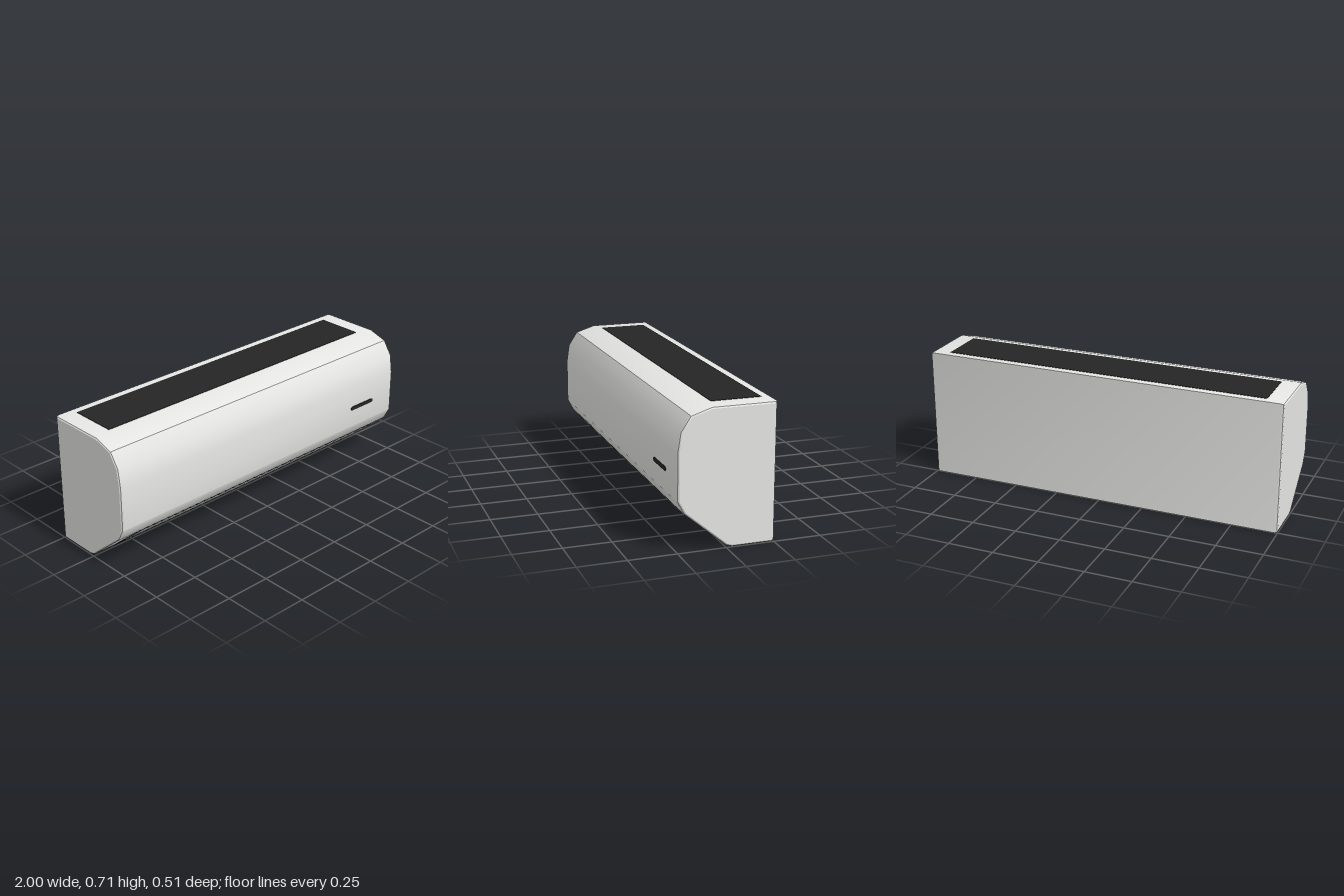
import * as THREE from 'three';
import { toCreasedNormals } from 'three/addons/utils/BufferGeometryUtils.js';

const shellMat = new THREE.MeshStandardMaterial({ color: 0xe6e6e4 });
shellMat.name = 'shell white';
const blackMat = new THREE.MeshStandardMaterial({ color: 0x252525 });
blackMat.name = 'vent black';

// side profile as [z, y]
const slopeLow = [0, 0.01], slopeHigh = [0.218, 0.195];
const profile = [
  [-0.252, 0], [-0.03, 0], slopeLow, slopeHigh, [0.252, 0.26], [0.252, 0.5],
  [0.237, 0.6], [0.186, 0.677], [0.08, 0.711], [-0.252, 0.711],
];

function part(name, geometry, material, parent) {
  const mesh = new THREE.Mesh(geometry, material);
  mesh.name = name;
  parent.add(mesh);
  return mesh;
}

export function createModel() {
  const model = new THREE.Group();
  model.name = 'wallAirConditioner';

  // casing: the profile extruded along x with softened ends
  const shape = new THREE.Shape(profile.map(([z, y]) => new THREE.Vector2(-z, y)));
  const bevel = 0.015;
  const casing = new THREE.ExtrudeGeometry(shape, {
    depth: 2 - 2 * bevel, bevelThickness: bevel, bevelSize: 0.01, bevelOffset: -0.01, bevelSegments: 2,
  });
  casing.translate(0, 0, bevel - 1).rotateY(Math.PI / 2);
  part('casing', toCreasedNormals(casing, 0.54), shellMat, model);

  // intake grille on top
  part('topGrille', new THREE.BoxGeometry(1.8, 0.006, 0.26), blackMat, model).position.set(0, 0.71, -0.08);

  // plates lying on the sloping underside, between two heights
  const dz = slopeHigh[0] - slopeLow[0], dy = slopeHigh[1] - slopeLow[1];
  const angle = Math.atan2(dz, dy);
  function slopePlate(name, width, y0, y1, lift, material) {
    const plate = part(name, new THREE.BoxGeometry(width, (y1 - y0) / Math.cos(angle), 0.004), material, model);
    const y = (y0 + y1) / 2, z = slopeLow[0] + (y - slopeLow[1]) * dz / dy;
    plate.rotation.x = angle;
    plate.position.set(0, y - Math.sin(angle) * lift, z + Math.cos(angle) * lift);
  }
  slopePlate('airOutlet', 1.76, 0.02, 0.19, 0, blackMat);
  slopePlate('airVane', 1.72, 0.082, 0.18, 0.003, shellMat);

  // rounded display strip on the front
  const r = 0.011, half = 0.09 - r;
  const strip = new THREE.Shape();
  strip.absarc(half, 0, r, -Math.PI / 2, Math.PI / 2);
  strip.absarc(-half, 0, r, Math.PI / 2, Math.PI * 1.5);
  const display = new THREE.ExtrudeGeometry(strip, { depth: 0.005, bevelEnabled: false, curveSegments: 8 });
  part('displayStrip', display, blackMat, model).position.set(0.745, 0.374, 0.25);

  return model;
}
